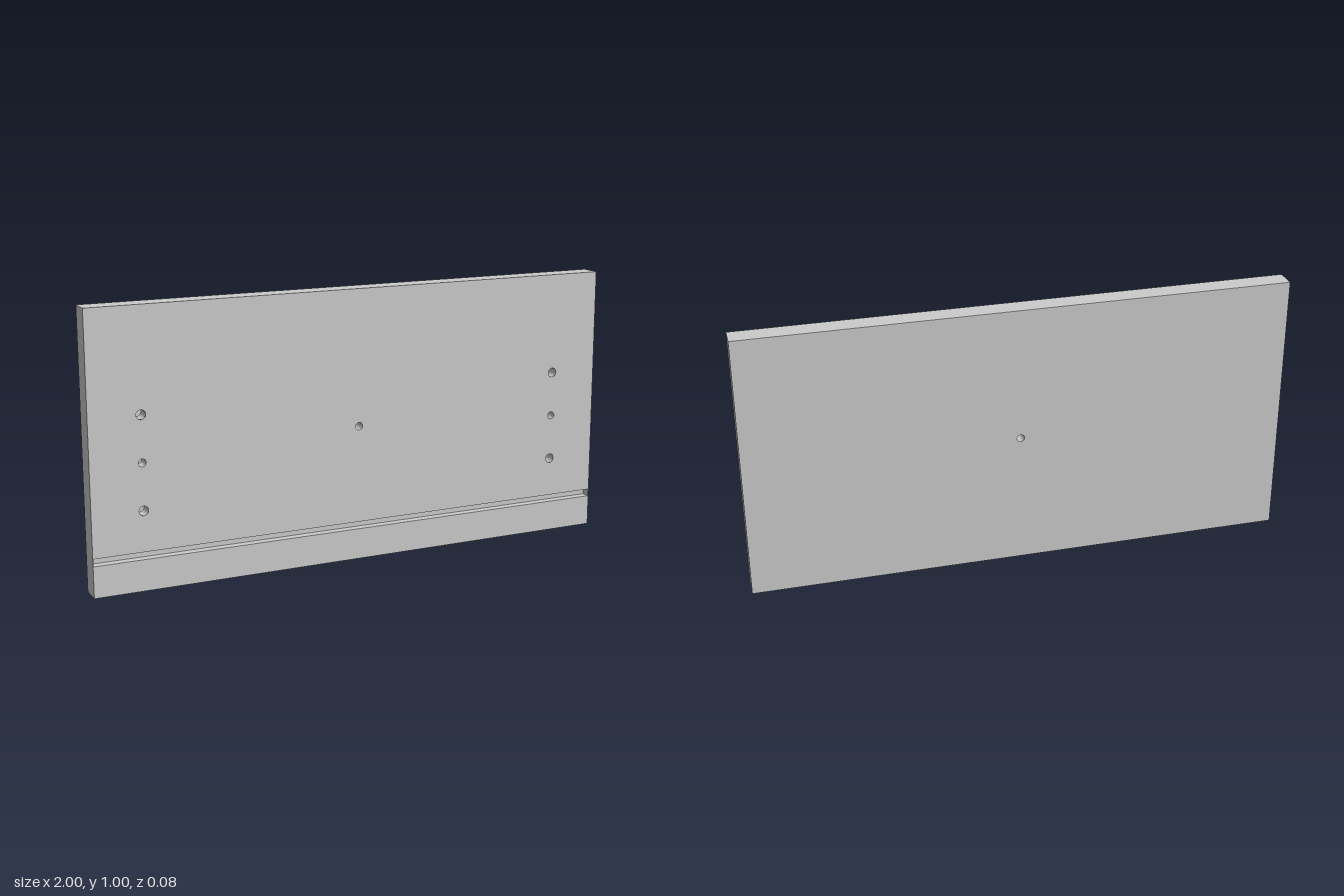
import * as THREE from 'three';

const W = 2, H = 0.997, T = 0.078;
const groove = { w: 1.996, h: 0.027, y: 0.127, depth: 0.032 };
const pilotDepth = 0.05;
const center = { x: 0, y: H / 2, r: 0.014 };
const pilots = [-0.815, 0.815].flatMap((x) => [
  { x, y: 0.623, r: 0.017 }, { x, y: 0.456, r: 0.014 }, { x, y: 0.287, r: 0.017 },
]);

const material = new THREE.MeshStandardMaterial({ color: 0xcccccc });

// Turn a closed surface inside out, for cavities
function invert(geometry) {
  geometry.scale(-1, 1, 1);
  geometry.computeVertexNormals();
  return geometry;
}

function rectangle(Kind, w, y0, y1) {
  return new Kind([[-w / 2, y0], [w / 2, y0], [w / 2, y1], [-w / 2, y1]]
    .map(([x, y]) => new THREE.Vector2(x, y)));
}

// Panel face with round holes cut out
function faceShape(holes) {
  const shape = rectangle(THREE.Shape, W, 0, H);
  for (const { x, y, r } of holes) {
    shape.holes.push(new THREE.Path().absarc(x, y, r, 0, Math.PI * 2, true));
  }
  return shape;
}

export function createModel() {
  const model = new THREE.Group();
  model.name = 'panel';
  const add = (name, geometry, x = 0, y = 0, z = 0) => {
    const mesh = new THREE.Mesh(geometry, material);
    mesh.name = name;
    mesh.position.set(x, y, z);
    model.add(mesh);
  };

  // Front face, open at the drilled holes and the groove
  const front = faceShape([center, ...pilots]);
  front.holes.push(rectangle(THREE.Path, groove.w, groove.y - groove.h / 2, groove.y + groove.h / 2));
  add('frontFace', new THREE.ShapeGeometry(front, 24), 0, 0, T / 2);

  // Back face, open only at the through hole
  const back = new THREE.ShapeGeometry(faceShape([center]), 24);
  add('backFace', back.rotateY(Math.PI), 0, 0, -T / 2);

  // Four outer edges: a box without its front and back
  const edges = new THREE.BoxGeometry(W, H, T);
  edges.setIndex([...edges.index.array].slice(0, 24));
  add('panelEdges', edges, 0, H / 2, 0);

  // Groove: an inward-facing box without its front
  const slot = new THREE.BoxGeometry(groove.w, groove.h, groove.depth);
  const index = [...slot.index.array];
  slot.setIndex([...index.slice(0, 24), ...index.slice(30)]);
  add('groove', invert(slot), 0, groove.y, T / 2 - groove.depth / 2);

  // Hole walls, with a flat floor in each blind hole
  const bore = (name, { x, y, r }, depth) => {
    const wall = new THREE.CylinderGeometry(r, r, depth, 24, 1, true).rotateX(Math.PI / 2);
    add(name, invert(wall), x, y, T / 2 - depth / 2);
  };
  bore('throughHole', center, T);
  for (const hole of pilots) {
    bore('pilotHole', hole, pilotDepth);
    add('pilotHoleFloor', new THREE.CircleGeometry(hole.r, 24), hole.x, hole.y, T / 2 - pilotDepth);
  }

  return model;
}
